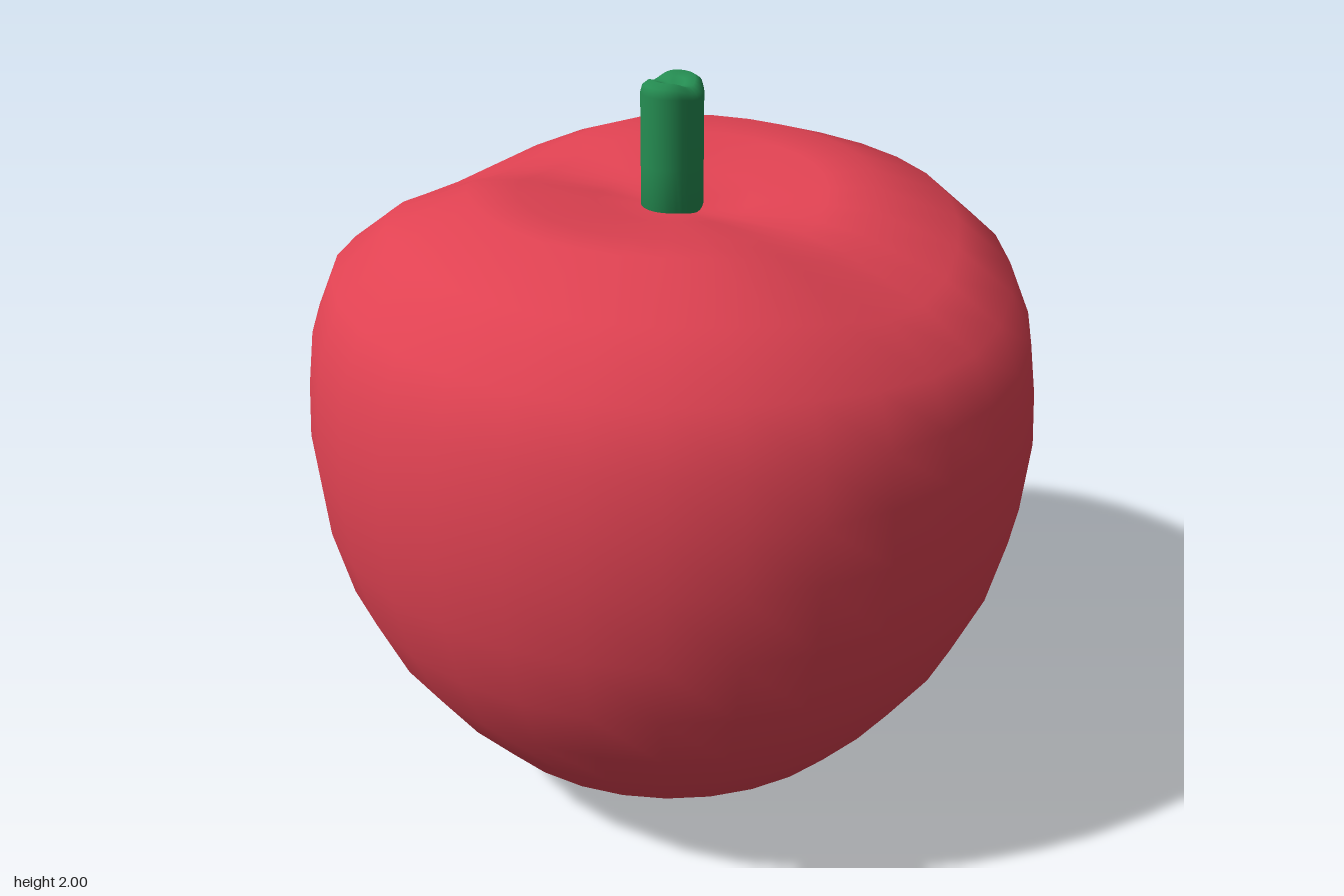
import * as THREE from 'three';
import { mergeVertices } from 'three/addons/utils/BufferGeometryUtils.js';

const SIDES = 32;

// Lathe-like body whose height differs between the x and z directions.
// Each ring is [radius, height along x, height along z], listed bottom to top.
function lobedBody(rings, power, zScale = 1) {
  const positions = [], index = [];
  rings.forEach(([r, yx, yz], i) => {
    for (let j = 0; j < SIDES; j++) {
      const a = (j / SIDES) * Math.PI * 2;
      const blend = Math.pow(Math.abs(Math.sin(a)), power(yx));
      positions.push(r * Math.cos(a), yx + (yz - yx) * blend, r * Math.sin(a) * zScale);
      if (i === rings.length - 1) continue;
      const k = (j + 1) % SIDES;
      const p = i * SIDES + j, q = i * SIDES + k;
      if (rings[i + 1][0] > 0) index.push(p, p + SIDES, q + SIDES);
      else index.push(p, p + SIDES, q);
      if (r > 0 && rings[i + 1][0] > 0) index.push(p, q + SIDES, q);
    }
  });
  const geometry = new THREE.BufferGeometry();
  geometry.setAttribute('position', new THREE.Float32BufferAttribute(positions, 3));
  geometry.setIndex(index);
  const merged = mergeVertices(geometry, 1e-5);
  merged.computeVertexNormals();
  return merged;
}

export function createModel() {
  const group = new THREE.Group();
  group.name = 'apple';

  const red = new THREE.MeshStandardMaterial({ color: 0xe04252 });
  red.name = 'apple red';
  const green = new THREE.MeshStandardMaterial({ color: 0x258d52 });
  green.name = 'stem green';

  // Fruit: rounded body with a valley running front to back at top and bottom
  const fruitRings = [
    [0, 0.04, 0.04], [0.17, 0.005, 0.05], [0.34, 0.02, 0.1], [0.48, 0.1, 0.135],
    [0.6, 0.2, 0.2], [0.72, 0.34, 0.34], [0.83, 0.5, 0.5], [0.91, 0.68, 0.68],
    [0.957, 0.87, 0.87], [0.975, 1.07, 1.07], [0.965, 1.22, 1.22], [0.945, 1.37, 1.35],
    [0.885, 1.52, 1.47], [0.74, 1.65, 1.565], [0.53, 1.73, 1.645], [0.4, 1.722, 1.67],
    [0.2, 1.69, 1.665], [0, 1.65, 1.65],
  ];
  const fruit = new THREE.Mesh(lobedBody(fruitRings, y => (y < 1 ? 3 : 8)), red);
  fruit.name = 'fruit';
  group.add(fruit);

  // Stem: slightly oval rod with a rounded, notched tip
  const stemRings = [
    [0, 1.6, 1.6], [0.086, 1.6, 1.6], [0.086, 1.78, 1.78], [0.086, 1.965, 1.955],
    [0.08, 1.988, 1.968], [0.062, 2, 1.982], [0.035, 1.99, 1.98], [0, 1.975, 1.975],
  ];
  const stem = new THREE.Mesh(lobedBody(stemRings, () => 6, 0.91), green);
  stem.name = 'stem';
  group.add(stem);

  return group;
}
